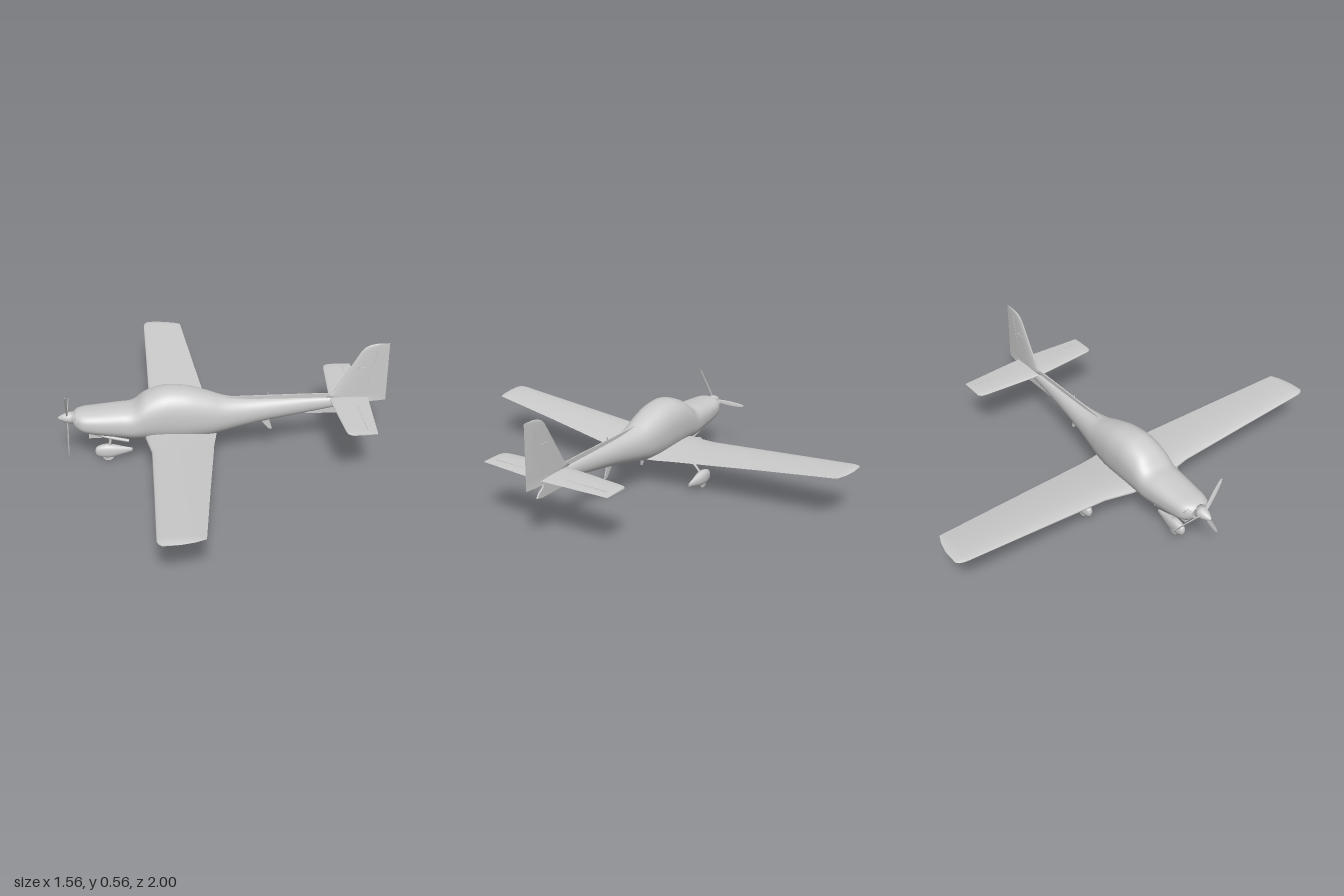
import * as THREE from 'three';

const grey = new THREE.MeshStandardMaterial({ color: 0xcccccc, side: THREE.DoubleSide });

function add(parent, name, geometry, x = 0, y = 0, z = 0) {
  const mesh = new THREE.Mesh(geometry, grey);
  mesh.name = name;
  mesh.position.set(x, y, z);
  parent.add(mesh);
  return mesh;
}

// Skin over rings of [x, y, z]; rings run counter-clockwise about the travel direction
function loft(rings) {
  const pos = [], idx = [], n = rings[0].length;
  rings.forEach(r => r.forEach(p => pos.push(...p)));
  for (let i = 0; i < rings.length - 1; i++) {
    for (let j = 0; j < n - 1; j++) {
      const a = i * n + j, c = a + n;
      idx.push(a, a + 1, c, a + 1, c + 1, c);
    }
  }
  // end caps with their own vertices
  [rings[0], rings[rings.length - 1]].forEach((r, end) => {
    const base = pos.length / 3;
    const mid = [0, 1, 2].map(k => r.reduce((s, p) => s + p[k], 0) / n);
    pos.push(...mid);
    r.forEach(p => pos.push(...p));
    for (let j = 1; j < n; j++) {
      if (end) idx.push(base, base + j, base + j + 1);
      else idx.push(base, base + j + 1, base + j);
    }
  });
  const g = new THREE.BufferGeometry();
  g.setAttribute('position', new THREE.Float32BufferAttribute(pos, 3));
  g.setIndex(idx);
  g.computeVertexNormals();
  return g;
}

// Airfoil outline from trailing edge over the top and back: [chord position, height]
function airfoil(lead, trail, thick, n = 14) {
  const out = [];
  for (let k = 0; k <= 2 * n; k++) {
    const u = (1 + Math.cos(Math.PI * k / n)) / 2;
    const t = 5 * thick * (0.2969 * Math.sqrt(u) - 0.126 * u - 0.3516 * u ** 2 + 0.2843 * u ** 3 - 0.1036 * u ** 4);
    out.push([lead + (trail - lead) * u, k < n ? t : -t, u]);
  }
  return out;
}

// Surface across z; stations: [z, leading x, trailing x, y, thickness, trailing-edge drop]
const span = st => loft(st.map(([z, a, b, y, t, drop = 0]) =>
  airfoil(a, b, t).map(([x, h, u]) => [x, y + h - drop * u, z])));
const mirrored = st => [...st.slice().reverse().map(([z, ...r]) => [-z, ...r]), ...st];

// Body along x; sections: [x, bottom, top, half width, squareness]
function body(sections, steps, sides) {
  const curve = f => new THREE.CatmullRomCurve3(sections.map(f), false, 'catmullrom', 0.5);
  const side = curve(s => new THREE.Vector3(s[0], s[1], s[2]));
  const plan = curve(s => new THREE.Vector3(s[0], s[3], s[4]));
  const rings = [];
  for (let i = 0; i <= steps; i++) {
    const a = side.getPoint(i / steps), b = plan.getPoint(i / steps), ring = [];
    for (let j = 0; j <= sides; j++) {
      const t = Math.PI + 2 * Math.PI * j / sides, c = Math.cos(t), s = Math.sin(t);
      const p = v => Math.sign(v) * Math.abs(v) ** (2 / b.z);
      ring.push([a.x, (a.y + a.z) / 2 + p(c) * (a.z - a.y) / 2, p(s) * b.y]);
    }
    rings.push(ring);
  }
  return loft(rings);
}

// Thin upright plate outlined in x and y, centred on z = 0
function plate(points, thick) {
  const shape = new THREE.Shape(points.map(p => new THREE.Vector2(...p)));
  return new THREE.ExtrudeGeometry(shape, { depth: thick, bevelEnabled: false }).translate(0, 0, -thick / 2);
}

const tube = (pts, r) => new THREE.TubeGeometry(
  new THREE.CatmullRomCurve3(pts.map(p => new THREE.Vector3(...p))), 16, r, 10);

// Wheel in a teardrop fairing
function wheelUnit(name, x, z) {
  const g = new THREE.Group();
  g.name = name;
  g.position.set(x, 0, z);
  add(g, 'wheel', new THREE.CylinderGeometry(0.028, 0.028, 0.018, 28).rotateX(Math.PI / 2), 0, 0.028);
  add(g, 'wheelFairing', body([
    [-0.062, 0.045, 0.055, 0.003, 2], [-0.055, 0.028, 0.071, 0.013, 2.2], [-0.035, 0.02, 0.08, 0.02, 2.4],
    [-0.005, 0.015, 0.085, 0.023, 2.4], [0.03, 0.018, 0.08, 0.021, 2.3], [0.07, 0.028, 0.07, 0.013, 2.1],
    [0.115, 0.041, 0.059, 0.004, 2]], 30, 24));
  return g;
}

export function createModel() {
  const plane = new THREE.Group();
  plane.name = 'lightAircraft';

  // Cowl, cabin with bubble canopy, and tail boom
  add(plane, 'fuselage', body([
    [-0.705, 0.208, 0.268, 0.045, 2.2], [-0.69, 0.193, 0.277, 0.06, 2.4], [-0.66, 0.178, 0.283, 0.077, 2.5],
    [-0.6, 0.165, 0.287, 0.086, 2.5], [-0.5, 0.15, 0.295, 0.095, 2.5], [-0.43, 0.141, 0.303, 0.1, 2.5],
    [-0.37, 0.134, 0.35, 0.103, 2.4], [-0.3, 0.127, 0.377, 0.104, 2.4], [-0.24, 0.123, 0.382, 0.102, 2.4],
    [-0.16, 0.123, 0.371, 0.097, 2.4], [-0.075, 0.128, 0.345, 0.086, 2.3], [0, 0.143, 0.318, 0.072, 2.2],
    [0.09, 0.162, 0.304, 0.056, 2.1], [0.2, 0.184, 0.298, 0.043, 2], [0.38, 0.213, 0.293, 0.025, 2],
    [0.5, 0.233, 0.29, 0.017, 2], [0.69, 0.264, 0.288, 0.008, 2]], 96, 48));

  // Spinner and three-blade propeller
  const prop = new THREE.Group();
  prop.name = 'propeller';
  prop.position.set(-0.735, 0.243, 0);
  plane.add(prop);
  const nose = [[0, 0.045], [0.006, 0.042], [0.015, 0.027], [0.023, 0.01], [0.028, -0.01], [0.03, -0.035], [0, -0.035]];
  add(prop, 'spinner', new THREE.LatheGeometry(nose.reverse().map(p => new THREE.Vector2(...p)), 32).rotateZ(Math.PI / 2));
  for (let i = 0; i < 3; i++) {
    const blade = add(prop, 'blade', span([
      [0.015, -0.006, 0.006, 0, 0.006], [0.05, -0.01, 0.01, 0, 0.005], [0.1, -0.011, 0.011, 0, 0.004],
      [0.16, -0.008, 0.008, 0, 0.003], [0.177, -0.003, 0.004, 0, 0.002]]).rotateZ(1.25));
    blade.rotation.x = Math.PI + i * 2 * Math.PI / 3;
  }

  // Low wing with dihedral and root fillet
  add(plane, 'wing', span(mirrored([
    [0, -0.38, -0.03, 0.161, 0.045, 0.015], [0.1, -0.375, -0.048, 0.166, 0.044, 0.015],
    [0.17, -0.362, -0.06, 0.171, 0.04, 0.013], [0.24, -0.35, -0.068, 0.176, 0.036, 0.011],
    [0.6, -0.352, -0.112, 0.205, 0.028, 0.004], [0.95, -0.355, -0.153, 0.233, 0.019],
    [0.97, -0.354, -0.156, 0.235, 0.017], [0.988, -0.347, -0.2, 0.236, 0.012], [1, -0.335, -0.26, 0.237, 0.004]])));

  // Tailplane
  add(plane, 'tailplane', span(mirrored([
    [0, 0.503, 0.687, 0.282, 0.018], [0.05, 0.505, 0.685, 0.282, 0.018], [0.3, 0.525, 0.668, 0.282, 0.013],
    [0.325, 0.53, 0.667, 0.282, 0.011], [0.338, 0.545, 0.665, 0.282, 0.006]])));

  // Fin and rudder, lofted upward
  add(plane, 'finAndRudder', loft([
    [0.262, 0.6, 0.02], [0.29, 0.485, 0.02], [0.305, 0.503, 0.02], [0.325, 0.524, 0.019], [0.43, 0.586, 0.016],
    [0.525, 0.642, 0.012], [0.545, 0.66, 0.01], [0.557, 0.685, 0.008], [0.563, 0.715, 0.003],
  ].map(([y, lead, t]) => airfoil(lead, 0.775, t).map(([x, h]) => [x, y, -h]))));

  // Ridge along the boom and fin beneath the tail
  add(plane, 'dorsalRidge', plate([[-0.02, 0.29], [0.5, 0.27], [0.53, 0.31], [0.4, 0.313], [-0.02, 0.318]], 0.006));
  add(plane, 'ventralFin', plate([[0.36, 0.225], [0.4, 0.208], [0.68, 0.202], [0.71, 0.208], [0.695, 0.228], [0.67, 0.245], [0.66, 0.27]], 0.008));

  // Control surface hinge lines
  const rudderHinge = add(plane, 'rudderHinge', new THREE.BoxGeometry(0.003, 0.25, 0.014), 0.697, 0.407);
  rudderHinge.rotation.z = -0.18;
  add(plane, 'trimTab', new THREE.BoxGeometry(0.05, 0.004, 0.02), 0.66, 0.445);
  for (const s of [-1, 1]) {
    add(plane, 'elevatorHinge', new THREE.BoxGeometry(0.003, 0.012, 0.25), 0.625, 0.282, s * 0.18);
    // Cooling inlet rims
    const inlet = add(plane, 'coolingInlet', new THREE.TorusGeometry(0.013, 0.003, 8, 24), -0.69, 0.248, s * 0.052);
    inlet.rotation.y = -s * 0.9;
    inlet.scale.x = 1.2;
    // Main gear
    plane.add(wheelUnit(s > 0 ? 'leftMainWheel' : 'rightMainWheel', -0.205, s * 0.258));
    add(plane, 'mainGearLeg', tube([[-0.185, 0.155, s * 0.14], [-0.188, 0.14, s * 0.175],
      [-0.195, 0.11, s * 0.22], [-0.203, 0.07, s * 0.25]], 0.006));
    // Exhaust pipes
    add(plane, 'exhaustPipe', tube([[-0.62, 0.175, s * 0.035], [-0.56, 0.15, s * 0.035], [-0.455, 0.121, s * 0.035]], 0.008));
  }

  // Nose gear and air scoop
  plane.add(wheelUnit('noseWheel', -0.555, 0));
  add(plane, 'noseGearLeg', tube([[-0.53, 0.17, 0], [-0.54, 0.12, 0], [-0.548, 0.07, 0]], 0.007));
  add(plane, 'airScoop', new THREE.BoxGeometry(0.06, 0.035, 0.04), -0.61, 0.153);

  // Aerials, step and air-speed probe
  add(plane, 'bentAerial', tube([[-0.335, 0.135, 0], [-0.32, 0.1, 0], [-0.308, 0.075, 0], [-0.278, 0.068, 0]], 0.003));
  add(plane, 'rearStep', plate([[-0.1, 0.14], [-0.06, 0.14], [-0.062, 0.1], [-0.072, 0.1]], 0.006));
  add(plane, 'bladeAerial', plate([[0.17, 0.19], [0.215, 0.19], [0.232, 0.13], [0.215, 0.132]], 0.006));
  add(plane, 'topAerial', tube([[0.195, 0.29, 0], [0.203, 0.31, 0], [0.21, 0.328, 0]], 0.002));
  add(plane, 'airSpeedProbe', tube([[-0.25, 0.215, 0.755], [-0.255, 0.195, 0.755], [-0.285, 0.192, 0.755]], 0.003));

  return plane;
}
